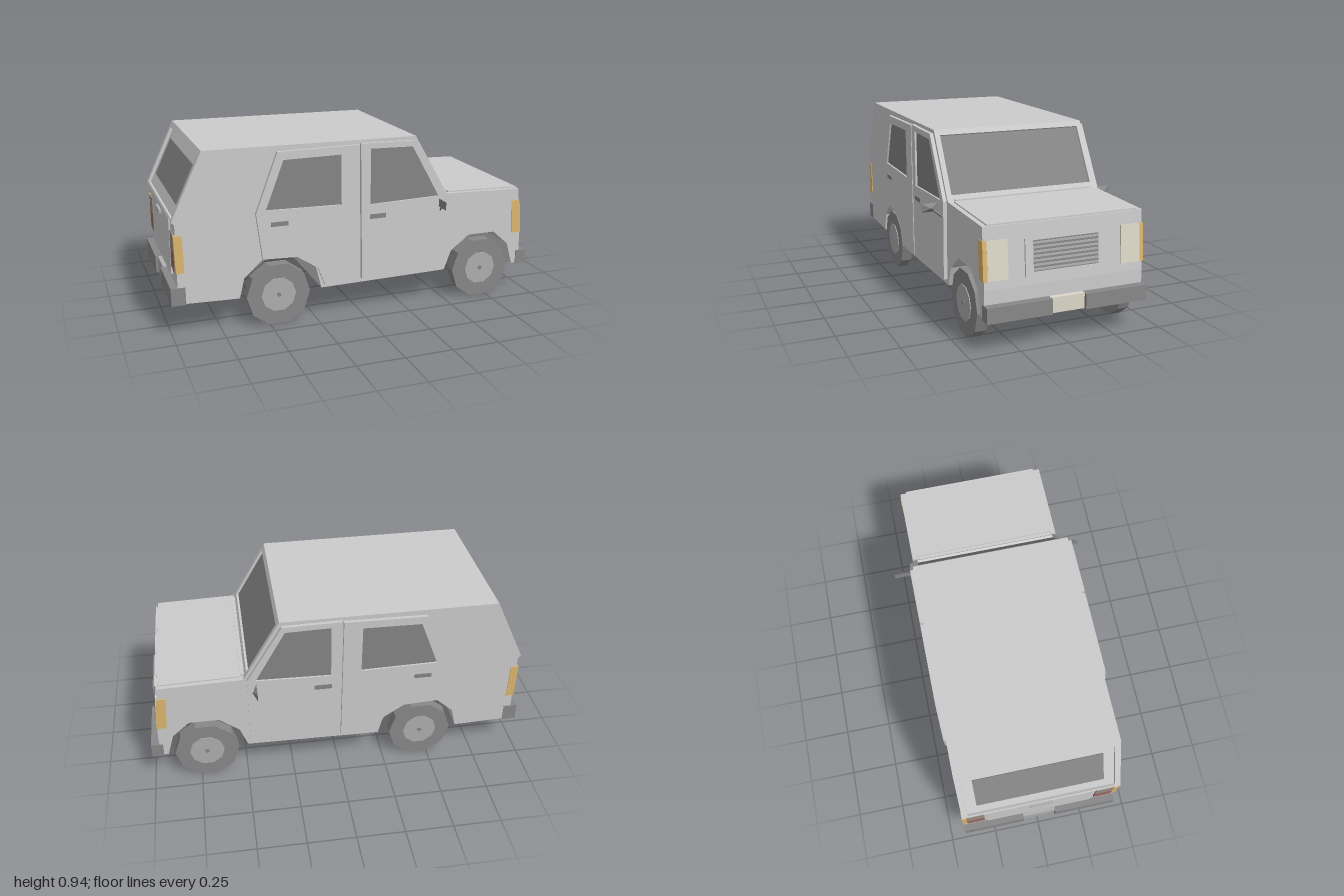
import * as THREE from 'three';

const mat = (color) => new THREE.MeshStandardMaterial({ color, flatShading: true });
const BODY = mat(0xcccccc), DARK = mat(0x858585), TIRE = mat(0x888888), HUB = mat(0xaeaeae);
const CREAM = mat(0xddd8c8), AMBER = mat(0xdcb66e), RED = mat(0x9a6a64), SMOKE = mat(0x9a8f84);
const W = 0.415; // half width of the body

const toShape = (pts) => new THREE.Shape(pts.map(([x, y]) => new THREE.Vector2(x, y)));
const rect = (x0, y0, x1, y1) => [[x0, y0], [x1, y0], [x1, y1], [x0, y1]];

// Flat plate from an outline, with an optional opening, from local z0 to z1
function plate(parent, name, pts, z0, z1, material, hole) {
  const shape = toShape(pts);
  if (hole) shape.holes.push(new THREE.Path(hole.map(([x, y]) => new THREE.Vector2(x, y))));
  const geo = new THREE.ExtrudeGeometry(shape, { depth: z1 - z0, bevelEnabled: false });
  geo.translate(0, 0, z0);
  const mesh = new THREE.Mesh(geo, material);
  mesh.name = name;
  parent.add(mesh);
  return mesh;
}

// Plate repeated on both flanks of the car
function flank(parent, name, pts, z0, z1, material, hole) {
  plate(parent, name + 'Left', pts, z0, z1, material, hole);
  plate(parent, name + 'Right', pts, -z1, -z0, material, hole);
}

function box(parent, name, x0, x1, y0, y1, z0, z1, material) {
  const mesh = new THREE.Mesh(new THREE.BoxGeometry(x1 - x0, y1 - y0, z1 - z0), material);
  mesh.position.set((x0 + x1) / 2, (y0 + y1) / 2, (z0 + z1) / 2);
  mesh.name = name;
  parent.add(mesh);
  return mesh;
}

// Group lying on a sloped end face: local x across, y up the slope, z outward
function slope(parent, name, low, high, side) {
  const up = new THREE.Vector3(high[0] - low[0], high[1] - low[1], 0).normalize();
  const across = new THREE.Vector3(0, 0, -side);
  const out = new THREE.Vector3().crossVectors(across, up);
  const group = new THREE.Group();
  group.name = name;
  group.setRotationFromMatrix(new THREE.Matrix4().makeBasis(across, up, out));
  group.position.set(low[0], low[1], 0);
  parent.add(group);
  const inset = (p, d) => [p[0] - out.x * d, p[1] - out.y * d];
  const length = Math.hypot(high[0] - low[0], high[1] - low[1]);
  return { group, inset, length };
}

export function createModel() {
  const car = new THREE.Group();
  car.name = 'car';

  // Sloped faces
  const wsLow = [0.49, 0.61], wsHigh = [0.3, 0.935];
  const tgLow = [-0.98, 0.6], tgHigh = [-0.82, 0.94];
  const screen = slope(car, 'windscreenFrame', wsLow, wsHigh, 1);
  const gate = slope(car, 'tailgateFrame', tgLow, tgHigh, -1);
  const nose = slope(car, 'nose', [0.957, 0.3], [0.932, 0.6], 1).group;

  // Body shell with wheel arches and shallow recesses for front and rear glass
  const rearArch = [[-0.655, 0.165], [-0.63, 0.27], [-0.53, 0.36], [-0.355, 0.36], [-0.25, 0.285], [-0.22, 0.165]];
  const frontArch = [[0.49, 0.175], [0.53, 0.28], [0.635, 0.36], [0.79, 0.36], [0.88, 0.28], [0.915, 0.16]];
  plate(car, 'bodyShell', [
    [-0.965, 0.175], ...rearArch, ...frontArch, [0.957, 0.16], [0.957, 0.3], [0.932, 0.595], [0.5, 0.607],
    wsLow, screen.inset(wsLow, 0.02), screen.inset(wsHigh, 0.02), wsHigh,
    tgHigh, gate.inset(tgHigh, 0.015), gate.inset(tgLow, 0.015), tgLow, [-0.965, 0.585],
  ], -W, W, BODY);

  // Windscreen
  const sl = screen.length;
  plate(screen.group, 'frame', rect(-W, 0, W, sl), -0.02, 0, BODY, rect(-0.388, 0.03, 0.388, sl - 0.03));
  plate(screen.group, 'windscreen', rect(-0.388, 0.03, 0.388, sl - 0.03), -0.02, -0.014, DARK);

  // Rear window in the tailgate
  const gl = gate.length;
  plate(gate.group, 'frame', rect(-W, 0, W, gl), -0.015, 0, BODY, rect(-0.385, 0.012, 0.385, gl - 0.035));
  plate(gate.group, 'rearWindow', [[-0.33, 0.075], [0.33, 0.075], [0.33, 0.29], [-0.33, 0.29]], -0.015, -0.01, DARK);

  // Bonnet and cowl strip
  const bonnet = new THREE.Group();
  bonnet.name = 'bonnet';
  car.add(bonnet);
  box(bonnet, 'cowl', 0.485, 0.505, 0.6, 0.617, -0.38, 0.38, BODY);
  plate(bonnet, 'bonnetPanel', [[0.51, 0.6], [0.928, 0.59], [0.928, 0.602], [0.51, 0.613]], -0.39, 0.39, BODY);

  // Nose panel, slatted grille and headlights
  plate(nose, 'nosePanel', [[-0.21, 0.04], [0.21, 0.04], [0.21, 0.22], [0.38, 0.295], [-0.38, 0.295], [-0.21, 0.22]],
    0, 0.01, BODY, rect(-0.17, 0.06, 0.17, 0.21));
  plate(nose, 'grilleBack', rect(-0.17, 0.06, 0.17, 0.21), 0, 0.003, DARK);
  for (let i = 0; i < 7; i++) {
    const y = 0.066 + i * 0.021;
    plate(nose, 'grilleSlat', rect(-0.17, y, 0.17, y + 0.01), 0.003, 0.009, HUB);
  }
  for (const s of [-1, 1]) {
    const a = s * 0.295, b = s * 0.398;
    plate(nose, 'headlight', rect(Math.min(a, b), 0.042, Math.max(a, b), 0.23), 0, 0.006, CREAM);
  }

  // Corner lamps wrapping front and rear edges
  flank(car, 'frontIndicator', [[0.906, 0.342], [0.958, 0.342], [0.943, 0.53], [0.892, 0.53]], 0.398, 0.419, AMBER);
  flank(car, 'rearIndicator', [[-0.928, 0.338], [-0.933, 0.53], [-0.975, 0.53], [-0.97, 0.338]], 0.395, 0.419, AMBER);

  // Rear panel, tail lamps and handle
  box(car, 'tailgatePanel', -0.973, -0.965, 0.29, 0.585, -0.285, 0.285, BODY);
  box(car, 'tailgateHandle', -0.987, -0.965, 0.545, 0.565, -0.06, 0.06, HUB);
  for (const s of [-1, 1]) {
    const z0 = s > 0 ? 0.3 : -0.395, z1 = z0 + 0.095;
    box(car, 'tailLampUpper', -0.973, -0.96, 0.435, 0.53, z0, z1, SMOKE);
    box(car, 'tailLampLower', -0.973, -0.96, 0.338, 0.435, z0, z1, RED);
  }

  // Bumpers, split around the number plates
  for (const [z0, z1] of [[-0.418, -0.088], [0.088, 0.418]]) {
    box(car, 'frontBumper', 0.938, 1.0, 0.155, 0.232, z0, z1, TIRE);
    box(car, 'rearBumper', -1.0, -0.927, 0.17, 0.262, z0, z1, TIRE);
  }
  box(car, 'frontPlate', 0.938, 0.983, 0.155, 0.232, -0.088, 0.088, CREAM);
  box(car, 'rearPlate', -0.987, -0.927, 0.17, 0.262, -0.088, 0.088, HUB);

  // Doors with recessed windows and handles
  const rearGlass = [[-0.515, 0.618], [-0.115, 0.61], [-0.118, 0.872], [-0.42, 0.868]];
  const frontGlass = [[0.043, 0.595], [0.432, 0.605], [0.275, 0.885], [0.043, 0.89]];
  flank(car, 'rearDoor', [[-0.205, 0.187], [-0.012, 0.192], [-0.022, 0.915], [-0.45, 0.91], [-0.565, 0.605],
    [-0.535, 0.365], [-0.355, 0.357], [-0.245, 0.285]], W, 0.434, BODY, rearGlass);
  flank(car, 'frontDoor', [[0.0, 0.192], [0.475, 0.203], [0.478, 0.605], [0.29, 0.915], [-0.012, 0.92]],
    W, 0.434, BODY, frontGlass);
  flank(car, 'rearDoorWindow', rearGlass, W, 0.424, DARK);
  flank(car, 'frontDoorWindow', frontGlass, W, 0.424, DARK);
  flank(car, 'rearDoorHandle', rect(-0.49, 0.533, -0.4, 0.555), 0.434, 0.439, DARK);
  flank(car, 'frontDoorHandle', rect(0.04, 0.519, 0.13, 0.543), 0.434, 0.439, DARK);

  // Door mirrors: flat four-sided pods on thin arms
  for (const s of [-1, 1]) {
    const mirror = new THREE.Group();
    mirror.name = s > 0 ? 'mirrorLeft' : 'mirrorRight';
    const podGeo = new THREE.ConeGeometry(Math.SQRT1_2, 1, 4, 1);
    podGeo.rotateY(Math.PI / 4).rotateZ(-Math.PI / 2).scale(0.022, 0.044, 0.085);
    const pod = new THREE.Mesh(podGeo, TIRE);
    pod.name = 'mirrorPod';
    pod.position.set(0.441, 0.572, s * 0.488);
    const path = new THREE.LineCurve3(new THREE.Vector3(0.448, 0.525, s * 0.43), new THREE.Vector3(0.437, 0.562, s * 0.475));
    const arm = new THREE.Mesh(new THREE.TubeGeometry(path, 1, 0.006, 4), TIRE);
    arm.name = 'mirrorArm';
    mirror.add(pod, arm);
    car.add(mirror);
  }

  // Ten-sided wheels with hub discs and axle stubs
  const disc = (name, r, depth, z, sides, material) => {
    const geo = new THREE.CylinderGeometry(r, r, depth, sides);
    geo.rotateY(Math.PI / 2).rotateX(Math.PI / 2);
    const mesh = new THREE.Mesh(geo, material);
    mesh.name = name;
    mesh.position.z = z;
    return mesh;
  };
  for (const x of [-0.452, 0.71]) for (const s of [-1, 1]) {
    const wheel = new THREE.Group();
    wheel.name = (x > 0 ? 'front' : 'rear') + 'Wheel' + (s > 0 ? 'Left' : 'Right');
    wheel.position.set(x, 0.161, 0);
    wheel.add(disc('tyre', 0.169, 0.06, s * 0.387, 10, TIRE), disc('hub', 0.092, 0.006, s * 0.418, 10, HUB),
      disc('hubCap', 0.012, 0.006, s * 0.422, 8, DARK), disc('axleStub', 0.012, 0.05, s * 0.335, 8, TIRE));
    car.add(wheel);
  }
  return car;
}
